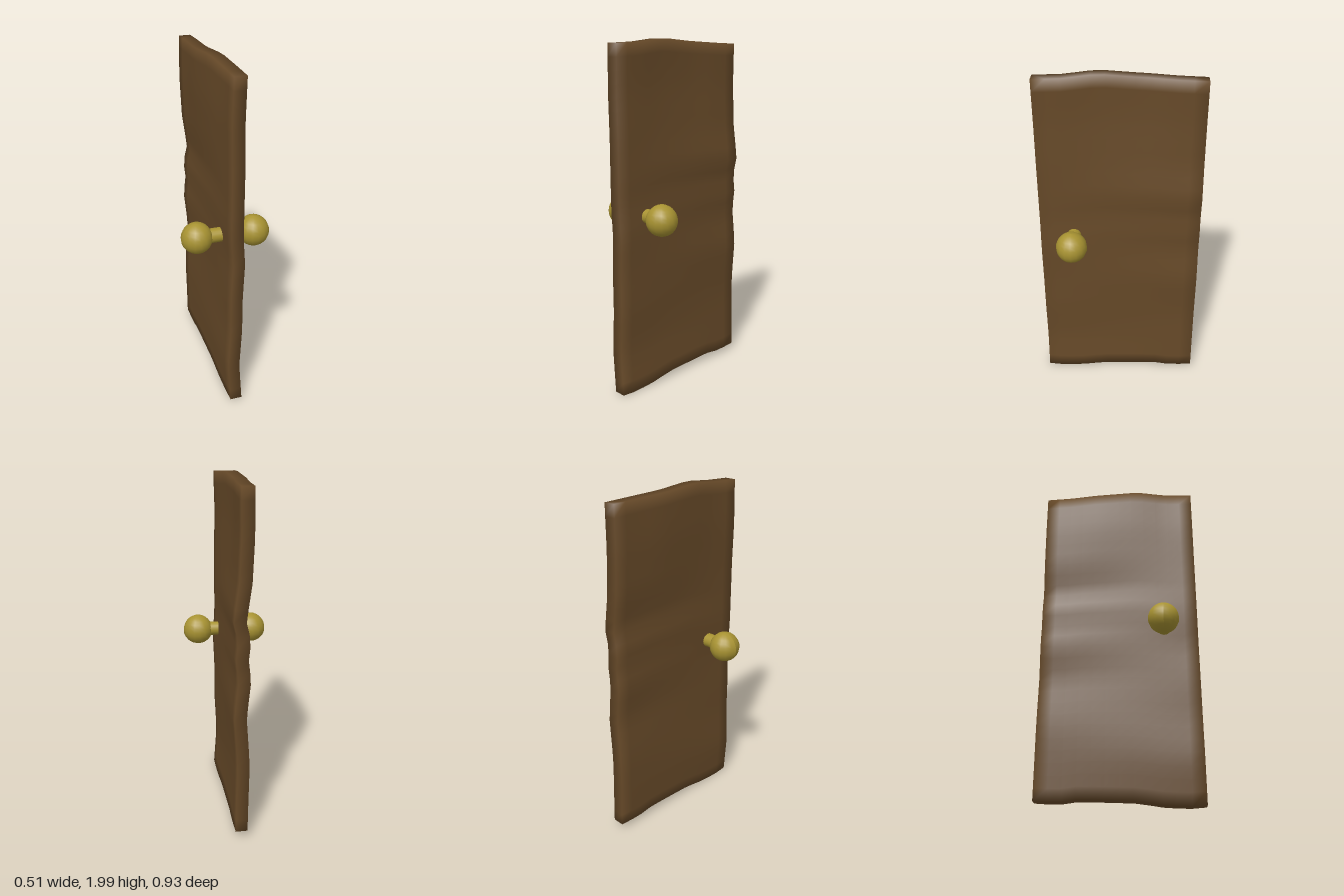
import * as THREE from 'three';
import { mergeVertices } from 'three/addons/utils/BufferGeometryUtils.js';

const wood = new THREE.MeshStandardMaterial({ color: 0x664928 });
const brass = new THREE.MeshStandardMaterial({ color: 0xa89332 });

// Piecewise linear profile through [position, value] pairs
function profile(points, t) {
  if (t <= points[0][0]) return points[0][1];
  for (let i = 1; i < points.length; i++) {
    const [a, va] = points[i - 1], [b, vb] = points[i];
    if (t <= b) return va + (vb - va) * (t - a) / (b - a);
  }
  return points[points.length - 1][1];
}

// Sideways wander of the front and back edges by height, and of the top edge by depth
const frontEdge = [[0, 0.01], [0.25, -0.008], [0.5, 0.004], [0.73, 0.003], [0.95, 0.012], [1.1, 0], [1.5, 0], [1.75, -0.006], [2, 0]];
const backEdge = [[0, 0.022], [0.2, 0.018], [0.4, 0.013], [0.5, 0.016], [0.73, 0.031], [0.95, 0.008], [1.07, 0.022], [1.18, 0.01], [1.29, 0.035], [1.5, 0.006], [1.75, -0.005], [2, -0.003]];
const topWander = [[-0.46, 0], [-0.3, -0.004], [-0.12, -0.018], [0.1, -0.012], [0.3, 0.003], [0.46, 0]];
// Uneven top and bottom heights by depth
const topLine = [[-0.46, 1.97], [-0.3, 1.975], [-0.08, 1.985], [0.12, 2], [0.3, 1.98], [0.46, 1.973]];
const bottomLine = [[-0.46, 0.045], [-0.33, 0.035], [-0.22, 0.05], [0.1, 0.037], [0.22, 0.015], [0.36, 0.004], [0.46, 0.012]];
const depthLine = [[0, 0.463], [0.25, 0.462], [1, 0.46], [2, 0.458]];

// Warped plank with soft-shaded rims
function doorSlab() {
  let geo = new THREE.BoxGeometry(0.068, 2, 0.92, 1, 28, 12);
  geo.deleteAttribute('normal');
  geo.deleteAttribute('uv');
  geo = mergeVertices(geo);
  const p = geo.attributes.position;
  for (let i = 0; i < p.count; i++) {
    const z = p.getZ(i), h = p.getY(i) + 1;
    const t = z / 0.92 + 0.5;
    const wander = THREE.MathUtils.lerp(profile(backEdge, h), profile(frontEdge, h), t);
    const nearTop = THREE.MathUtils.smoothstep(h, 1.2, 2);
    const x = p.getX(i) + wander + profile(topWander, z) * nearTop;
    const y = THREE.MathUtils.lerp(profile(bottomLine, z), profile(topLine, z), h / 2);
    p.setXYZ(i, x, y, z / 0.46 * profile(depthLine, h));
  }
  geo.computeVertexNormals();
  return new THREE.Mesh(geo, wood);
}

// Slightly lumpy ball on a short round stem
function knob(side) {
  const group = new THREE.Group();
  const ballGeo = new THREE.SphereGeometry(0.089, 16, 12);
  const p = ballGeo.attributes.position;
  for (let i = 0; i < p.count; i++) {
    const x = p.getX(i), y = p.getY(i), z = p.getZ(i);
    const s = 1 + 0.018 * Math.sin(28 * x + 17 * y) * Math.cos(24 * z);
    p.setXYZ(i, x * s, y * s, z * s);
  }
  ballGeo.computeVertexNormals();
  const ball = new THREE.Mesh(ballGeo, brass);
  ball.name = 'knobBall';
  ball.position.set(side * 0.164, 1.034, 0.265 + side * 0.005);

  const stem = new THREE.Mesh(new THREE.CylinderGeometry(0.041, 0.041, 0.12, 20), brass);
  stem.name = 'knobStem';
  stem.rotation.z = Math.PI / 2;
  stem.position.set(side * 0.06, 1.036, 0.264);
  group.add(ball, stem);
  return group;
}

export function createModel() {
  const model = new THREE.Group();
  model.name = 'door';
  const slab = doorSlab();
  slab.name = 'doorSlab';
  model.add(slab);
  for (const side of [1, -1]) {
    const k = knob(side);
    k.name = side > 0 ? 'leftKnob' : 'rightKnob';
    model.add(k);
  }
  return model;
}
